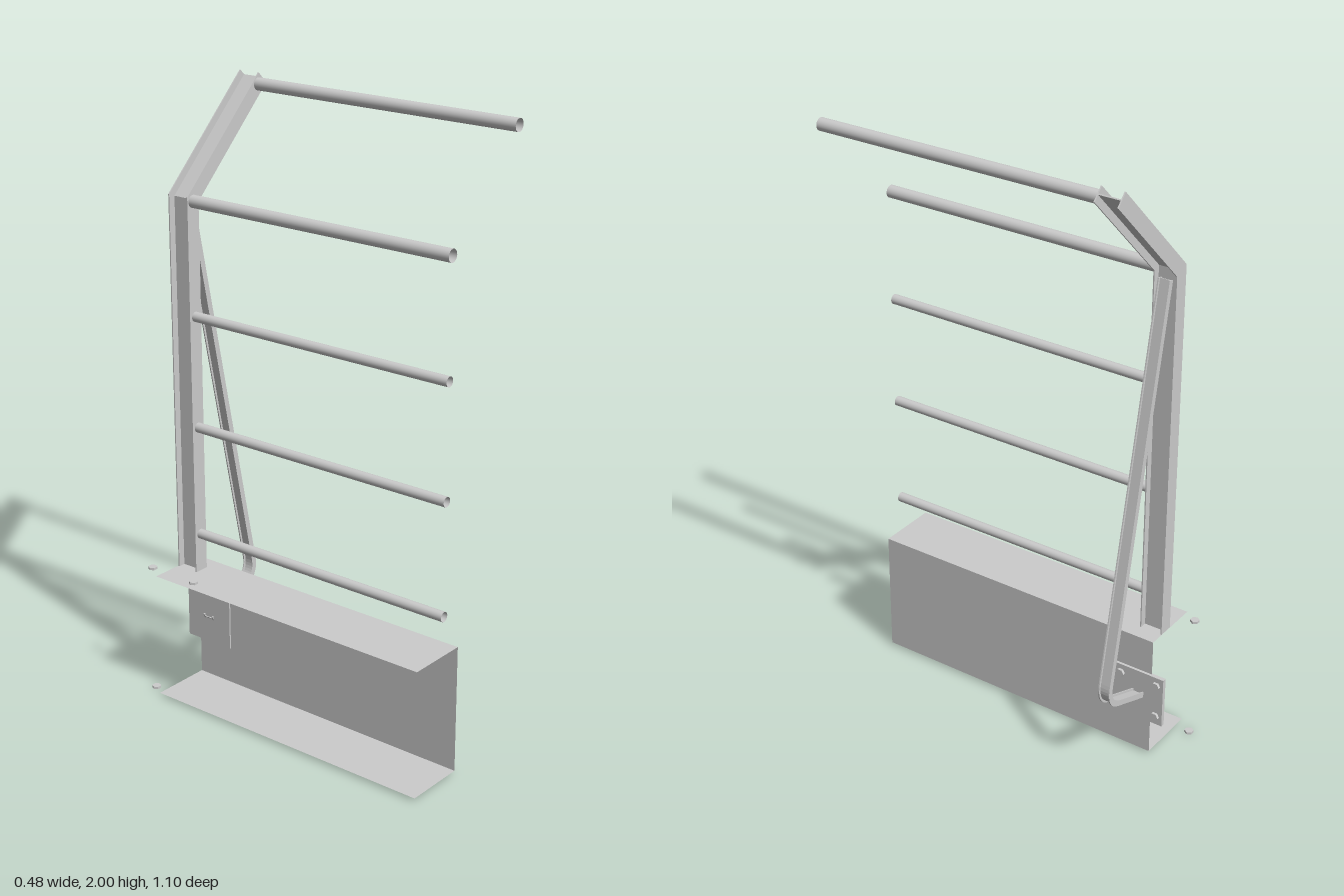
import * as THREE from 'three';

const steel = new THREE.MeshStandardMaterial({ color: 0xcccccc });
const sheet = new THREE.MeshStandardMaterial({ color: 0xcccccc, side: THREE.DoubleSide });

function add(parent, name, geometry, x = 0, y = 0, z = 0, material = steel) {
  const mesh = new THREE.Mesh(geometry, material);
  mesh.name = name;
  mesh.position.set(x, y, z);
  parent.add(mesh);
  return mesh;
}

// Band of constant width following a path in the xy plane, with mitred corners, extruded in z
function band(path, width, depth) {
  const left = [], right = [];
  path.forEach((p, i) => {
    const a = path[Math.max(i - 1, 0)], b = path[Math.min(i + 1, path.length - 1)];
    const d1 = (i > 0 ? p.clone().sub(a) : b.clone().sub(p)).normalize();
    const d2 = (i < path.length - 1 ? b.clone().sub(p) : d1.clone()).normalize();
    const n = new THREE.Vector2(-d1.y - d2.y, d1.x + d2.x).normalize();
    const h = width / 2 / (n.x * -d1.y + n.y * d1.x);
    left.push(p.clone().addScaledVector(n, h));
    right.unshift(p.clone().addScaledVector(n, -h));
  });
  const geometry = new THREE.ExtrudeGeometry(new THREE.Shape([...left, ...right]), { depth, bevelEnabled: false });
  return geometry.translate(0, 0, -depth / 2);
}

// I-section member: two flanges facing +z and -z joined by a central web
function iBeam(name, path, width, height, thickness, z) {
  const beam = new THREE.Group();
  beam.name = name;
  const offset = (height - thickness) / 2;
  add(beam, 'frontFlange', band(path, width, thickness), 0, 0, z + offset);
  add(beam, 'backFlange', band(path, width, thickness), 0, 0, z - offset);
  add(beam, 'web', band(path, thickness, height - 2 * thickness), 0, 0, z);
  return beam;
}

export function createModel() {
  const model = new THREE.Group();
  model.name = 'guardRail';
  const v = (x, y) => new THREE.Vector2(x, y);

  // Thin edge channel, open towards -x
  const channel = new THREE.Group();
  channel.name = 'edgeChannel';
  model.add(channel);
  const length = 1.04, midZ = 0.03, low = 0.01, high = 0.432;
  add(channel, 'channelWeb', new THREE.PlaneGeometry(length, high - low).rotateY(Math.PI / 2),
    -0.035, (low + high) / 2, midZ, sheet);
  for (const y of [low, high]) {
    add(channel, 'channelFlange', new THREE.PlaneGeometry(0.205, length).rotateX(-Math.PI / 2),
      -0.1375, y, midZ, sheet);
  }

  // Post with its leaning top
  model.add(iBeam('post', [v(-0.11, 0.432), v(-0.11, 1.66), v(0.218, 1.982)], 0.05, 0.078, 0.004, -0.45));

  // Bent brace
  const bend = new THREE.QuadraticBezierCurve(v(0.165, 0.372), v(0.178, 0.309), v(0.12, 0.286));
  model.add(iBeam('brace', [v(-0.092, 1.63), ...bend.getPoints(10), v(-0.042, 0.222)], 0.019, 0.04, 0.004, -0.447));

  // Rails: x, y, radius
  const rails = [[-0.11, 0.56, 0.016], [-0.11, 0.925, 0.016], [-0.11, 1.29, 0.016],
    [-0.11, 1.655, 0.02], [0.198, 1.965, 0.02]];
  for (const [x, y, r] of rails) {
    add(model, 'rail', new THREE.CylinderGeometry(r, r, 0.962, 24, 1, true).rotateX(Math.PI / 2),
      x, y, 0.069, sheet);
  }

  // Mounting plate with four hexagonal bolts
  const mount = new THREE.Group();
  mount.name = 'mountingPlate';
  model.add(mount);
  add(mount, 'plate', new THREE.BoxGeometry(0.014, 0.176, 0.18), -0.033, 0.223, -0.447);
  for (const y of [0.165, 0.281]) {
    for (const z of [-0.512, -0.382]) {
      add(mount, 'plateBolt', new THREE.CylinderGeometry(0.015, 0.015, 0.009, 6).rotateZ(Math.PI / 2).toNonIndexed(),
        -0.0215, y, z).geometry.computeVertexNormals();
    }
  }

  // Hexagonal nuts above and below the channel flanges
  for (const y of [0.004, 0.437]) {
    for (const z of [-0.538, -0.36]) {
      add(model, 'flangeNut', new THREE.CylinderGeometry(0.015, 0.015, 0.008, 6).rotateY(Math.PI / 6).toNonIndexed(),
        -0.205, y, z).geometry.computeVertexNormals();
    }
  }
  return model;
}
